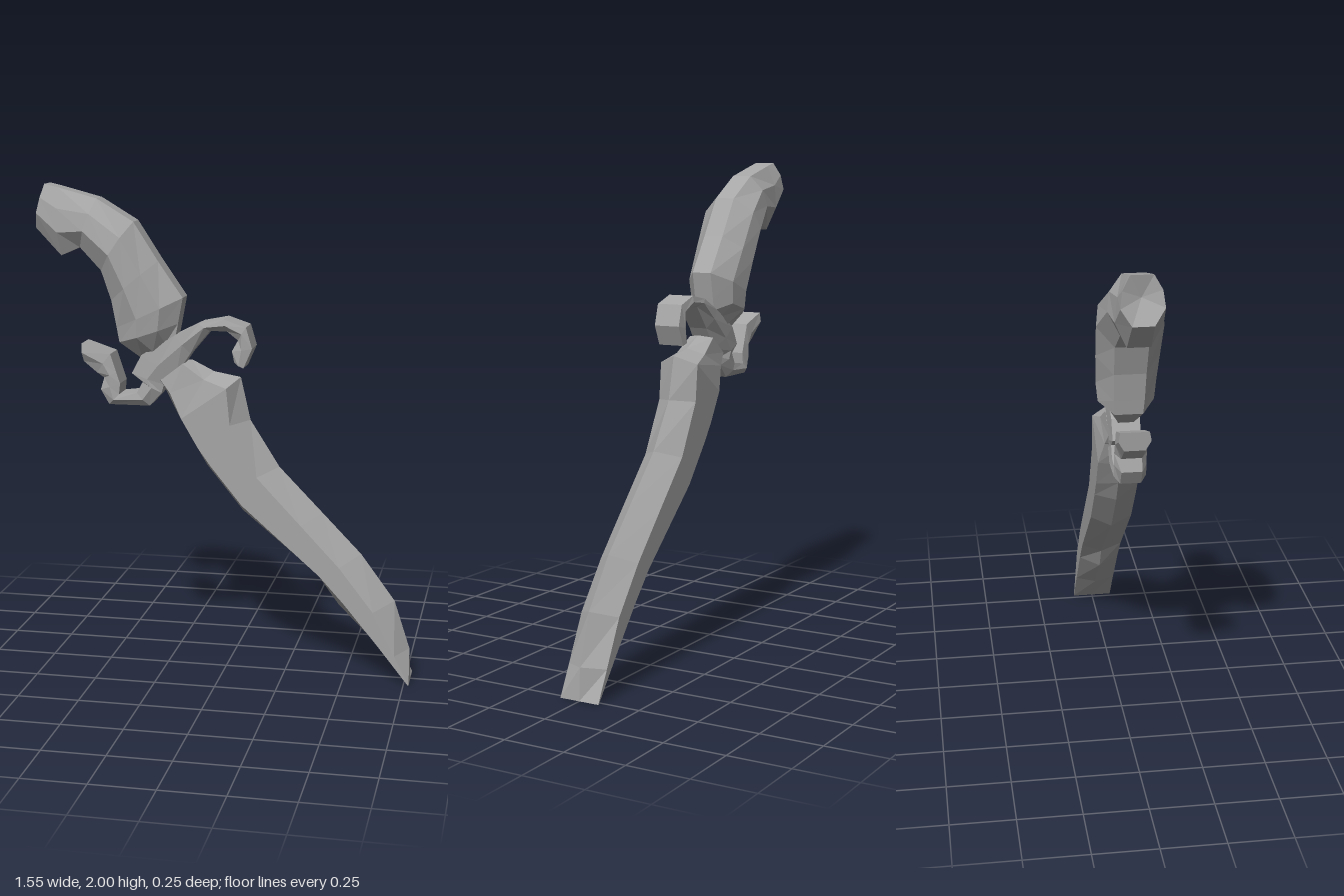
import * as THREE from 'three';

// Skin a list of closed rings with flat quads and fan caps; capShift pushes the first cap inwards
function loft(rings, capShift = [0, 0, 0]) {
  const pos = [];
  const n = rings[0].length;
  const tri = (a, b, c) => pos.push(...a, ...b, ...c);
  for (let i = 0; i < rings.length - 1; i++) {
    for (let j = 0; j < n; j++) {
      const k = (j + 1) % n;
      tri(rings[i][j], rings[i + 1][j], rings[i + 1][k]);
      tri(rings[i][j], rings[i + 1][k], rings[i][k]);
    }
  }
  const mid = (r) => [0, 1, 2].map((a) => r.reduce((s, p) => s + p[a], 0) / n);
  const first = rings[0], last = rings[rings.length - 1];
  const m0 = mid(first).map((v, a) => v + capShift[a]), m1 = mid(last);
  for (let j = 0; j < n; j++) {
    const k = (j + 1) % n;
    tri(m0, first[j], first[k]);
    tri(m1, last[k], last[j]);
  }
  // Turn the surface outwards if its enclosed volume is negative
  let volume = 0;
  const [a, b, c] = [0, 1, 2].map(() => new THREE.Vector3());
  for (let i = 0; i < pos.length; i += 9) {
    a.fromArray(pos, i); b.fromArray(pos, i + 3); c.fromArray(pos, i + 6);
    volume += a.dot(b.cross(c));
  }
  if (volume < 0) {
    for (let i = 0; i < pos.length; i += 9) {
      for (let d = 0; d < 3; d++) {
        [pos[i + 3 + d], pos[i + 6 + d]] = [pos[i + 6 + d], pos[i + 3 + d]];
      }
    }
  }
  const g = new THREE.BufferGeometry();
  g.setAttribute('position', new THREE.Float32BufferAttribute(pos, 3));
  g.computeVertexNormals();
  return g;
}

// Ring across the line A-B; profile rows are [fraction from A to B, half depth], mirrored in z
function ring(ax, ay, bx, by, profile) {
  const half = profile.map(([t, z]) => [ax + (bx - ax) * t, ay + (by - ay) * t, z]);
  return [...half, ...half.slice().reverse().map(([x, y, z]) => [x, y, -z])];
}

export function createModel() {
  const model = new THREE.Group();
  const steel = new THREE.MeshStandardMaterial({ color: 0xa6a6a6 });
  steel.name = 'grey steel';
  steel.flatShading = true;
  const add = (name, geometry) => {
    const mesh = new THREE.Mesh(geometry, steel);
    mesh.name = name;
    model.add(mesh);
  };

  // Curved blade: right ridge, front right, front left, left ridge (x, y), half depth
  const blade = [
    [-0.14, 1.30, -0.17, 1.29, -0.26, 1.22, -0.29, 1.21, 0.055],
    [-0.05, 1.255, -0.08, 1.23, -0.22, 1.17, -0.25, 1.17, 0.065],
    [0.06, 1.235, 0.015, 1.2, -0.17, 1.07, -0.2, 1.07, 0.085],
    [0.10, 1.06, 0.03, 1.05, -0.10, 0.95, -0.14, 0.965, 0.085],
    [0.22, 0.87, 0.14, 0.84, -0.05, 0.88, -0.08, 0.865, 0.085],
    [0.40, 0.685, 0.32, 0.65, 0.08, 0.72, 0.07, 0.68, 0.085],
    [0.56, 0.52, 0.48, 0.48, 0.40, 0.44, 0.41, 0.40, 0.085],
    [0.70, 0.33, 0.62, 0.30, 0.50, 0.33, 0.47, 0.30, 0.085],
    [0.765, 0.13, 0.71, 0.12, 0.645, 0.155, 0.63, 0.14, 0.085],
    [0.772, 0.0, 0.772, 0.0, 0.768, 0.0, 0.768, 0.0, 0.085],
  ];
  add('blade', loft(blade.map(([rx, ry, fx, fy, gx, gy, lx, ly, w]) => [
    [rx, ry, 0], [fx, fy, w], [gx, gy, w], [lx, ly, 0], [gx, gy, -w], [fx, fy, -w],
  ])));

  // Curved grip with flared pommel: back edge, inner edge, half depth
  const grip = [
    [-0.735, 2.0, -0.775, 1.825, 0.08],
    [-0.68, 1.987, -0.67, 1.715, 0.088],
    [-0.52, 1.945, -0.59, 1.75, 0.1],
    [-0.37, 1.855, -0.50, 1.66, 0.127],
    [-0.27, 1.70, -0.46, 1.54, 0.122],
    [-0.17, 1.555, -0.44, 1.43, 0.116],
    [-0.19, 1.45, -0.43, 1.37, 0.108],
    [-0.2, 1.40, -0.34, 1.30, 0.055],
  ];
  add('grip', loft(grip.map(([ax, ay, bx, by, w]) =>
    ring(ax, ay, bx, by, [[0, 0.042], [0.3, w * 0.9], [0.65, w], [1, w * 0.5]])), [0.035, 0, 0]));

  // S-shaped guard, from the right curl through the collar to the left curl
  const guard = [
    [0.08, 1.28, 0.04, 1.30],
    [0.115, 1.36, 0.03, 1.345],
    [0.09, 1.445, 0.055, 1.39],
    [0, 1.475, 0.01, 1.425],
    [-0.1, 1.455, -0.06, 1.425],
    [-0.2, 1.405, -0.14, 1.33],
    [-0.34, 1.32, -0.2, 1.24],
    [-0.38, 1.245, -0.25, 1.2],
    [-0.335, 1.21, -0.26, 1.165],
    [-0.36, 1.165, -0.31, 1.11],
    [-0.435, 1.155, -0.48, 1.11],
    [-0.43, 1.20, -0.515, 1.17],
    [-0.445, 1.245, -0.50, 1.22],
    [-0.47, 1.32, -0.53, 1.24],
    [-0.59, 1.36, -0.585, 1.285],
  ];
  add('guard', loft(guard.map((p) => ring(...p, [[0, 0.055], [0.5, 0.062], [1, 0.04]]))));

  return model;
}
